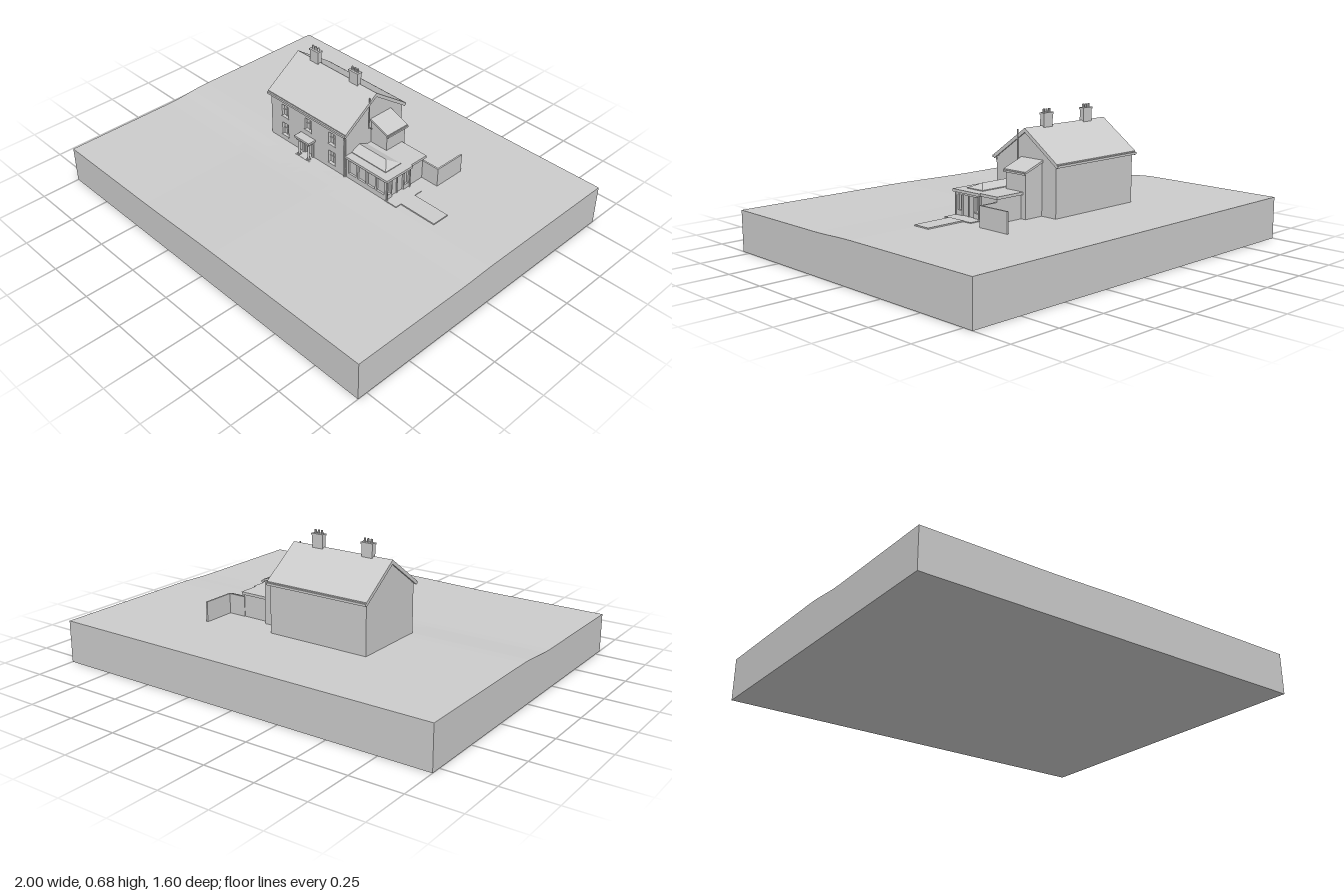
import * as THREE from 'three';

const material = new THREE.MeshStandardMaterial({ color: 0xcccccc, flatShading: true, side: THREE.DoubleSide });

export function createModel() {
  const model = new THREE.Group();

  const add = (name, geometry, parent = model) => {
    const mesh = new THREE.Mesh(geometry, material);
    mesh.name = name;
    parent.add(mesh);
    return mesh;
  };
  // Box given by its limits on each axis
  const box = (name, x0, x1, y0, y1, z0, z1, parent) => {
    const m = add(name, new THREE.BoxGeometry(x1 - x0, y1 - y0, z1 - z0), parent);
    m.position.set((x0 + x1) / 2, (y0 + y1) / 2, (z0 + z1) / 2);
    return m;
  };
  const outline = (points) => new THREE.Shape(points.map(([a, b]) => new THREE.Vector2(a, b)));
  const rect = (a0, a1, b0, b1) => [[a0, b0], [a1, b0], [a1, b1], [a0, b1]];
  // Profile of [z, y] points swept along x
  const sweepX = (name, points, x0, x1, holes = []) => {
    const flip = (list) => list.map(([z, y]) => [-z, y]);
    const shape = outline(flip(points));
    shape.holes = holes.map((h) => outline(flip(h)));
    const g = new THREE.ExtrudeGeometry(shape, { depth: x1 - x0, bevelEnabled: false });
    return add(name, g.rotateY(Math.PI / 2).translate(x0, 0, 0));
  };
  // Profile of [x, y] points swept along z
  const sweepZ = (name, points, z0, z1, holes = []) => {
    const shape = outline(points);
    shape.holes = holes.map(outline);
    const g = new THREE.ExtrudeGeometry(shape, { depth: z1 - z0, bevelEnabled: false });
    return add(name, g.translate(0, 0, z0));
  };
  const pipe = (name, points, r = 0.003) => {
    const path = new THREE.CurvePath();
    const v = points.map((p) => new THREE.Vector3(...p));
    for (let i = 1; i < v.length; i++) path.add(new THREE.LineCurve3(v[i - 1], v[i]));
    return add(name, new THREE.TubeGeometry(path, (v.length - 1) * 4, r, 8));
  };

  // Ground block, dropping gently towards the front and the right-hand corner
  const ground = new THREE.BoxGeometry(2, 0.2, 1.6, 40, 1, 32).translate(0, 0.1, 0);
  const pos = ground.attributes.position;
  const { smoothstep } = THREE.MathUtils;
  for (let i = 0; i < pos.count; i++) {
    if (pos.getY(i) < 0.1) continue;
    const front = smoothstep(pos.getZ(i), -0.05, 0.2);
    const side = smoothstep(pos.getX(i), -0.45, 0.15);
    pos.setY(i, 0.207 - front * (0.016 - 0.009 * side));
  }
  ground.computeVertexNormals();
  add('ground', ground);

  // Main house: gabled body with a pierced front wall
  sweepX('houseBody', [[-0.014, 0.16], [-0.014, 0.46], [-0.19, 0.586], [-0.38, 0.451], [-0.38, 0.16]], -0.41, 0.115);
  const openings = [];
  for (const x of [-0.31, -0.145, 0.02]) {
    openings.push(rect(x - 0.022, x + 0.022, 0.345, 0.41));
    if (x !== -0.145) openings.push(rect(x - 0.022, x + 0.022, 0.235, 0.305));
  }
  const door = rect(-0.166, -0.124, 0.2, 0.285);
  sweepZ('frontWall', rect(-0.41, 0.115, 0.16, 0.451), -0.014, 0, [...openings, door]);
  for (const [[x0, y0], [x1], [, y1]] of openings) {
    const x = (x0 + x1) / 2;
    const y = (y0 + y1) / 2;
    box('windowMullion', x - 0.0015, x + 0.0015, y0, y1, -0.014, -0.01);
    box('windowTransom', x0, x1, y - 0.0015, y + 0.0015, -0.014, -0.01);
    box('windowSill', x0 - 0.003, x1 + 0.003, y0 - 0.005, y0, -0.01, 0.004);
  }
  box('frontDoor', -0.163, -0.127, 0.2, 0.275, -0.014, -0.008);

  // Roof with barge boards and gutters
  const roof = (drop) => [[0.012, 0.457], [-0.19, 0.6], [-0.392, 0.457],
    [-0.392, 0.457 - drop], [-0.19, 0.6 - drop], [0.012, 0.457 - drop]];
  sweepX('mainRoof', roof(0.012), -0.414, 0.119);
  sweepX('bargeBoard', roof(0.02), -0.419, -0.411);
  sweepX('bargeBoard', roof(0.02), 0.116, 0.123);
  for (const z of [0.013, -0.393]) box('gutter', -0.419, 0.123, 0.441, 0.452, z - 0.007, z + 0.007);
  pipe('downpipe', [[0.108, 0.445, 0.012], [0.108, 0.425, 0.004], [0.108, 0.2, 0.004]]);
  pipe('gablePipe', [[0.122, 0.59, -0.145], [0.122, 0.425, -0.145], [0.122, 0.41, -0.165]]);

  // Chimneys with three pots each
  for (const x of [-0.29, -0.02]) {
    const chimney = new THREE.Group();
    chimney.name = 'chimney';
    model.add(chimney);
    box('stack', x - 0.029, x + 0.029, 0.57, 0.65, -0.202, -0.178, chimney);
    box('cap', x - 0.032, x + 0.032, 0.65, 0.659, -0.205, -0.175, chimney);
    for (const dx of [-0.018, 0, 0.018]) {
      add('pot', new THREE.CylinderGeometry(0.005, 0.006, 0.018, 10), chimney).position.set(x + dx, 0.667, -0.19);
    }
  }

  // Front porch: slab, columns and stepped canopy
  box('porchStep', -0.195, -0.095, 0.17, 0.205, 0, 0.042);
  for (const x of [-0.178, -0.112]) {
    add('porchColumn', new THREE.CylinderGeometry(0.005, 0.006, 0.09, 12)).position.set(x, 0.248, 0.03);
    box('porchPilaster', x - 0.006, x + 0.006, 0.2, 0.293, 0, 0.006);
    box('columnBase', x - 0.008, x + 0.008, 0.204, 0.211, 0.022, 0.038);
  }
  box('porchBeam', -0.187, -0.103, 0.29, 0.303, 0, 0.038);
  box('porchCanopy', -0.196, -0.094, 0.303, 0.314, 0, 0.046);

  // Two-storey side wing with a lean-to roof
  sweepZ('wing', [[0.11, 0.16], [0.218, 0.16], [0.218, 0.415], [0.11, 0.453]], -0.293, -0.168);
  sweepZ('wingRoof', [[0.115, 0.454], [0.227, 0.414], [0.227, 0.424], [0.115, 0.465]], -0.3, -0.162);
  box('wingGutter', 0.222, 0.232, 0.41, 0.419, -0.3, -0.162);

  // Sunroom: glazed front and end walls below a flat roof
  const bays = [0, 1, 2, 3].map((i) => rect(0.13 + i * 0.061, 0.181 + i * 0.061, 0.235, 0.308));
  sweepZ('sunroomFront', rect(0.115, 0.376, 0.16, 0.32), -0.014, -0.004, bays);
  const endHoles = [rect(-0.04, -0.018, 0.235, 0.308), rect(-0.122, -0.045, 0.21, 0.308), rect(-0.152, -0.127, 0.235, 0.308)];
  sweepX('sunroomEnd', rect(-0.165, -0.004, 0.16, 0.32), 0.366, 0.376, endHoles);
  box('sunroomGlass', 0.115, 0.366, 0.16, 0.32, -0.165, -0.014);
  box('doorMeetingRail', 0.366, 0.372, 0.21, 0.308, -0.0855, -0.0815);
  box('sunroomRoof', 0.115, 0.387, 0.318, 0.331, -0.17, 0.005);
  for (const z of [-0.008, -0.16]) pipe('sunroomDownpipe', [[0.381, 0.32, z], [0.381, 0.2, z]]);

  // Single-storey rear part behind the sunroom
  box('rearRoom', 0.115, 0.368, 0.16, 0.32, -0.265, -0.165);
  box('rearRoomRoof', 0.115, 0.376, 0.318, 0.331, -0.275, -0.168);

  // Hipped roof lantern
  box('lanternCurb', 0.115, 0.337, 0.329, 0.335, -0.14, -0.038);
  const lantern = new THREE.BufferGeometry();
  lantern.setAttribute('position', new THREE.Float32BufferAttribute([
    0.115, 0.335, -0.04, 0.335, 0.335, -0.04, 0.335, 0.335, -0.138,
    0.115, 0.335, -0.138, 0.115, 0.357, -0.089, 0.29, 0.357, -0.089], 3));
  lantern.setIndex([0, 1, 5, 0, 5, 4, 1, 2, 5, 2, 3, 4, 2, 4, 5, 3, 0, 4]);
  lantern.computeVertexNormals();
  add('lanternRoof', lantern);

  // Terrace, garden path and screen wall
  box('terrace', 0.37, 0.442, 0.17, 0.211, -0.175, -0.002);
  box('path', 0.442, 0.645, 0.17, 0.213, -0.128, -0.035);
  box('screenWall', 0.366, 0.465, 0.17, 0.305, -0.268, -0.259);
  box('screenWallReturn', 0.457, 0.465, 0.17, 0.305, -0.43, -0.259);

  return model;
}
